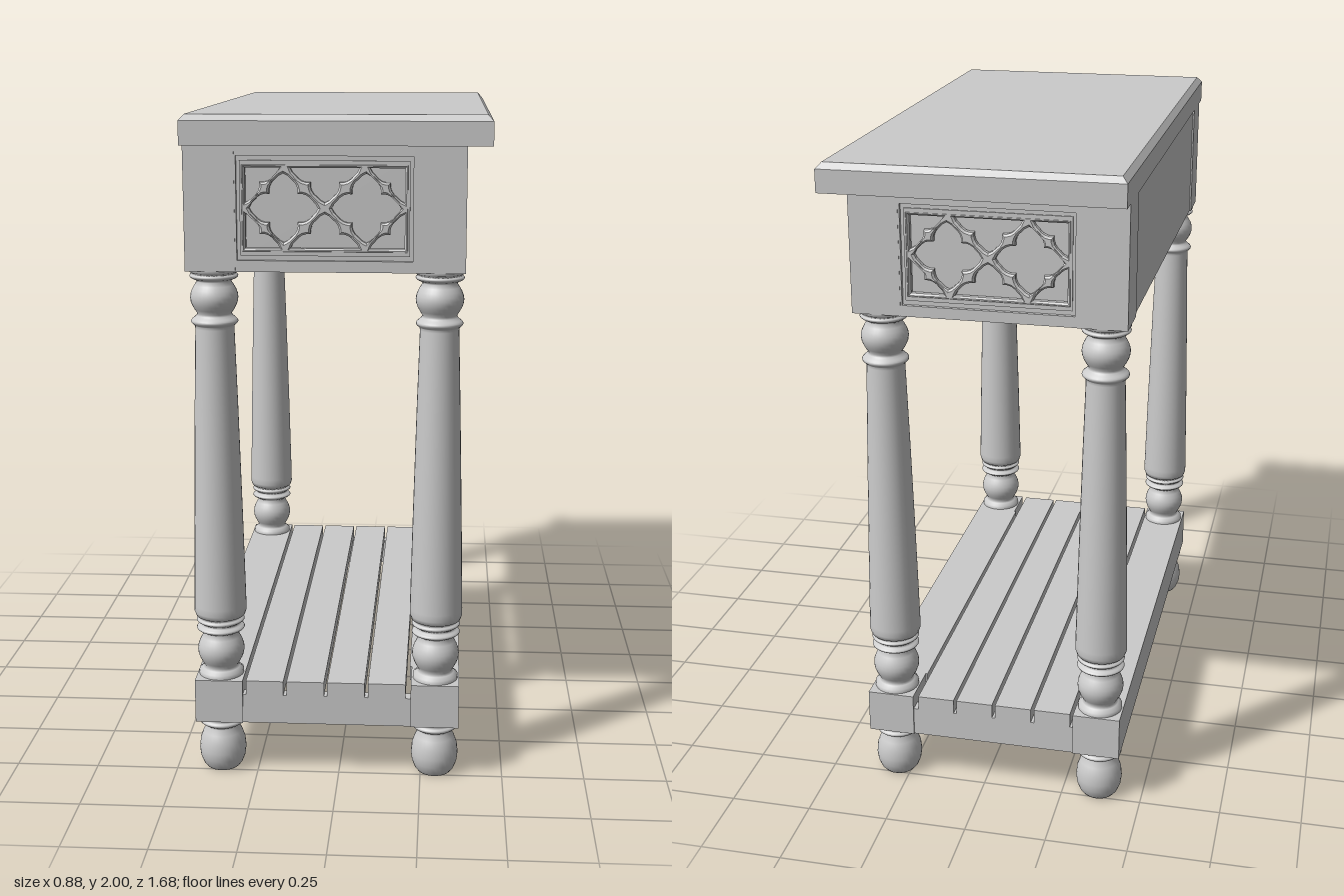
import * as THREE from 'three';

const mat = new THREE.MeshStandardMaterial({ color: 0xcccccc });
const matTwoSided = new THREE.MeshStandardMaterial({ color: 0xcccccc, side: THREE.DoubleSide });
const POST = 0.145, XL = -0.3625, XR = 0.2925, ZP = 0.7075, XC = (XL + XR) / 2;

function add(parent, name, geometry, x = 0, y = 0, z = 0, material = mat) {
  const mesh = new THREE.Mesh(geometry, material);
  mesh.name = name;
  mesh.position.set(x, y, z);
  parent.add(mesh);
  return mesh;
}

// box given by its limits
function block(parent, name, x0, x1, y0, y1, z0, z1) {
  return add(parent, name, new THREE.BoxGeometry(x1 - x0, y1 - y0, z1 - z0),
    (x0 + x1) / 2, (y0 + y1) / 2, (z0 + z1) / 2);
}

function rect(w, h, Kind = THREE.Shape) {
  return new Kind([[-1, -1], [1, -1], [1, 1], [-1, 1]]
    .map(([x, y]) => new THREE.Vector2(x * w / 2, y * h / 2)));
}

function ringGeometry(w, h, innerW, innerH, depth) {
  const shape = rect(w, h);
  shape.holes.push(rect(innerW, innerH, THREE.Path));
  return new THREE.ExtrudeGeometry(shape, { depth, bevelEnabled: false });
}

// outline of four pointed lobes, or of the part between two angles
function foil(cx, cy, scale = 1, from = 0, to = Math.PI * 2, Kind = THREE.Path) {
  const d = 0.047, r = 0.041, pts = [];
  const span = to - from, n = Math.round(span / (Math.PI / 24)), closed = span > 6;
  for (let i = 0; i <= (closed ? n - 1 : n); i++) {
    const a = from + span * i / n;
    const f = a - Math.round(a / (Math.PI / 2)) * Math.PI / 2;
    const point = 0.01 * Math.max(0, 1 - Math.abs(f) / 0.27);
    const rad = scale * (d * Math.cos(f) + Math.sqrt(r * r - (d * Math.sin(f)) ** 2) + point);
    pts.push(new THREE.Vector2(cx + rad * Math.cos(a), cy + rad * Math.sin(a)));
  }
  if (span < 2) pts.push(new THREE.Vector2(cx, cy));
  return new Kind(pts);
}

// pierced tracery: whole foils on the middle line, halves and quarters along the border
function traceryGeometry(w, h, centres, halves, rosette) {
  const shape = rect(w + 0.01, h + 0.01), P = Math.PI;
  const ye = h / 2 - 0.009, xe = w / 2 - 0.009;
  centres.forEach(x => shape.holes.push(foil(x, 0)));
  halves.forEach(x => shape.holes.push(foil(x, -ye, 1, 0, P), foil(x, ye, 1, P, 2 * P)));
  shape.holes.push(foil(-xe, -ye, 1, 0, P / 2), foil(xe, -ye, 1, P / 2, P),
    foil(xe, ye, 1, P, 1.5 * P), foil(-xe, ye, 1, 1.5 * P, 2 * P));
  if (rosette) shape.holes.push(new THREE.Path().absarc(0, 0, 0.086, 0, 2 * P));
  return new THREE.ExtrudeGeometry(shape, {
    depth: 0.014, bevelThickness: 0.006, bevelSize: 0.006, bevelOffset: -0.006,
    bevelSegments: 1, curveSegments: 24,
  });
}

// carved apron panel, facing +z with its face at z = 0
function carvedPanel(name, boardW, openW, centres, halves, rosette) {
  const g = new THREE.Group();
  g.name = name;
  const w = openW - 0.03, h = 0.245;
  add(g, 'apronBoard', ringGeometry(boardW, 0.36, openW, 0.295, 0.045), 0, 0, -0.045);
  add(g, 'panelBack', new THREE.BoxGeometry(openW, 0.295, 0.012), 0, 0, -0.039);
  add(g, 'outerMoulding', ringGeometry(openW, 0.295, w + 0.012, h + 0.024, 0.023), 0, 0, -0.035);
  add(g, 'innerMoulding', ringGeometry(w + 0.012, h + 0.024, w, h, 0.027), 0, 0, -0.035);
  add(g, 'tracery', traceryGeometry(w, h, centres, halves, rosette), 0, 0, -0.029);
  if (rosette) {
    const flower = foil(0, 0, 0.74, 0, Math.PI * 2, THREE.Shape);
    flower.holes.push(foil(0, 0, 0.5));
    add(g, 'rosette', new THREE.ExtrudeGeometry(flower, { depth: 0.025, bevelEnabled: false }), 0, 0, -0.035);
    const boss = add(g, 'rosetteBoss', new THREE.SphereGeometry(0.016, 16, 10), 0, 0, -0.03);
    boss.scale.z = 0.8;
  }
  return g;
}

// turned section from [radius, y] points
function turned(points) {
  return new THREE.LatheGeometry(points.map(([r, y]) => new THREE.Vector2(r, y)), 32);
}

// swelling between two heights
function bulge(y0, y1, rEdge, rMid, n = 8) {
  return Array.from({ length: n + 1 }, (_, i) =>
    [rEdge + (rMid - rEdge) * Math.sin(Math.PI * i / n), y0 + (y1 - y0) * i / n]);
}

const footGeometry = turned([[0, 0], [0.05, 0], [0.06, 0.012], [0.069, 0.035], [0.072, 0.06],
  [0.069, 0.09], [0.06, 0.115], [0.05, 0.132], [0.052, 0.14], ...bulge(0.142, 0.162, 0.06, 0.07, 6), [0.066, 0.17]]);

const legGeometry = turned([[0.068, 0.305], [0.068, 0.318], [0.056, 0.326],
  ...bulge(0.332, 0.438, 0.05, 0.071), [0.056, 0.444], ...bulge(0.446, 0.464, 0.062, 0.073, 6),
  [0.058, 0.468], ...bulge(0.472, 0.49, 0.062, 0.073, 6), [0.074, 0.496], [0.079, 0.51], [0.079, 0.53],
  [0.073, 0.8], [0.064, 1.15], [0.057, 1.38], [0.058, 1.388], ...bulge(1.39, 1.412, 0.06, 0.069, 6),
  [0.053, 1.418], ...bulge(1.424, 1.518, 0.05, 0.07), [0.055, 1.523],
  ...bulge(1.526, 1.542, 0.063, 0.071, 6), [0.071, 1.546], [0.071, 1.555]]);

export function createModel() {
  const model = new THREE.Group();
  model.name = 'sideTable';

  // table top with chamfered upper edges
  let top = new THREE.BoxGeometry(0.87, 0.085, 1.68, 1, 2, 1);
  const p = top.attributes.position;
  for (let i = 0; i < p.count; i++) {
    if (p.getY(i) > 0.04) {
      p.setX(i, p.getX(i) - Math.sign(p.getX(i)) * 0.016);
      p.setZ(i, p.getZ(i) - Math.sign(p.getZ(i)) * 0.016);
    } else if (p.getY(i) > -0.01) p.setY(i, 0.025);
  }
  top = top.toNonIndexed();
  top.computeVertexNormals();
  add(model, 'tableTop', top, 0, 1.9575, 0);

  // legs: foot, lower block, turned shaft and apron post
  for (const x of [XL, XR]) for (const z of [-ZP, ZP]) {
    const leg = new THREE.Group();
    leg.name = 'leg';
    leg.position.set(x, 0, z);
    model.add(leg);
    add(leg, 'foot', footGeometry, 0, 0, 0, matTwoSided);
    add(leg, 'lowerBlock', new THREE.BoxGeometry(POST, 0.135, POST), 0, 0.2375, 0);
    add(leg, 'turnedShaft', legGeometry, 0, 0, 0, matTwoSided);
    add(leg, 'apronPost', new THREE.BoxGeometry(POST, 0.36, POST), 0, 1.735, 0);
  }

  // carved aprons on both ends and the right side
  for (const s of [1, -1]) {
    const end = carvedPanel('endApron', 0.51, 0.5, [-0.1175, 0.1175], [0], false);
    end.position.set(XC, 1.735, s * 0.779);
    end.rotation.y = s > 0 ? 0 : Math.PI;
    model.add(end);
  }
  const side = carvedPanel('sideApron', 1.27, 1.19, [-0.45, -0.225, 0.225, 0.45],
    [-0.3375, -0.1125, 0.1125, 0.3375], true);
  side.position.set(0.364, 1.735, 0);
  side.rotation.y = Math.PI / 2;
  model.add(side);

  // plain apron on the left side
  block(model, 'plainApron', -0.43, -0.385, 1.555, 1.915, -0.635, 0.635);

  // lower rails
  block(model, 'leftRail', -0.435, -0.395, 0.17, 0.305, -0.635, 0.635);
  block(model, 'rightRail', 0.325, 0.365, 0.17, 0.305, -0.635, 0.635);
  for (const s of [1, -1])
    block(model, 'endRail', -0.29, 0.22, 0.17, 0.26, Math.min(s * 0.735, s * 0.775), Math.max(s * 0.735, s * 0.775));

  // shelf planks with narrow gaps
  for (let i = 0; i < 4; i++) {
    const x = -0.28 + i * 0.1235;
    block(model, 'shelfPlank', x, x + 0.1135, 0.26, 0.305, -0.775, 0.775);
  }
  block(model, 'shelfPlank', -0.395, -0.29, 0.26, 0.305, -0.635, 0.635);
  block(model, 'shelfPlank', 0.214, 0.325, 0.26, 0.305, -0.635, 0.635);

  return model;
}
